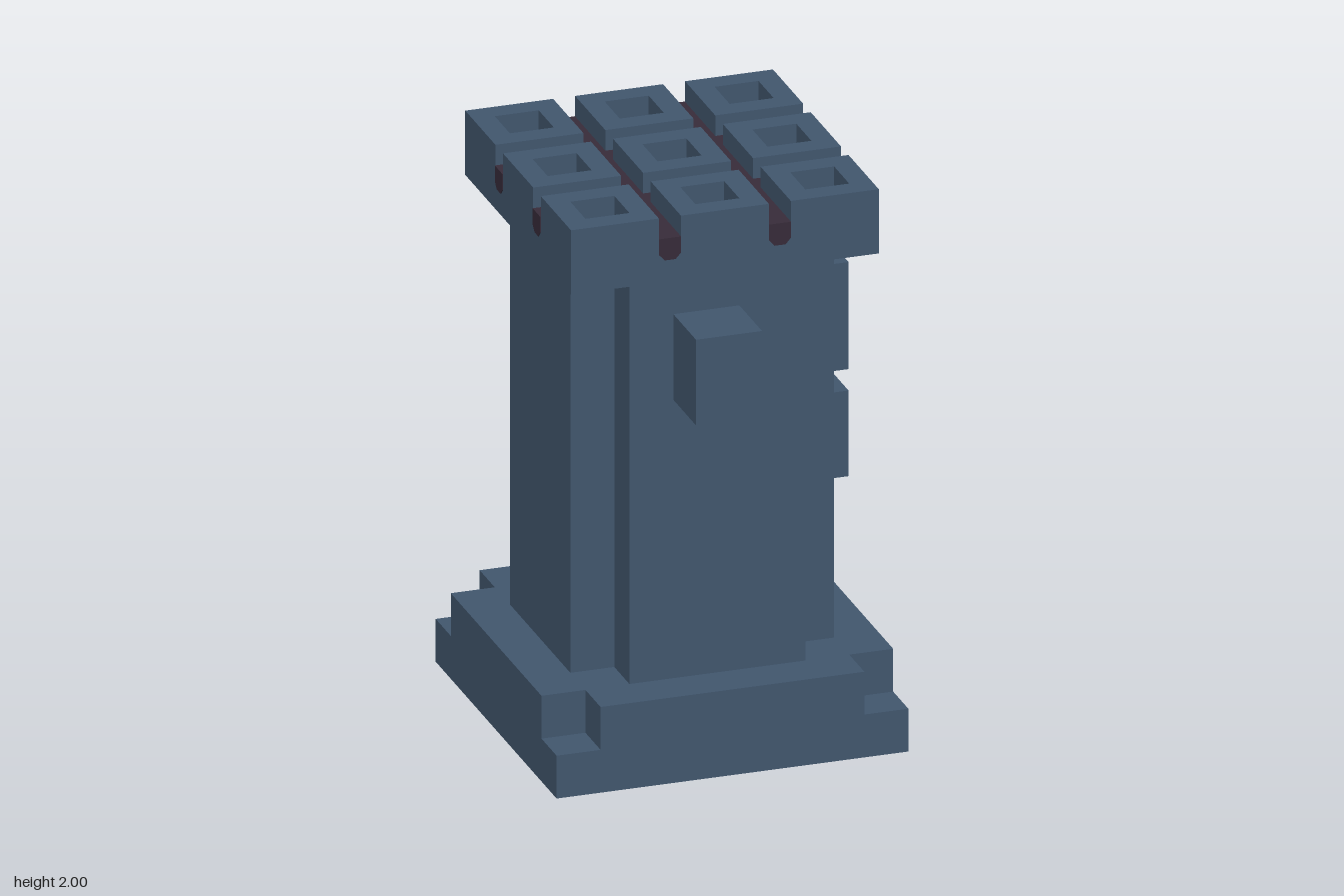
import * as THREE from 'three';

// All sizes are in grid units; 13 units make one world unit.
const U = 1 / 13;
const blue = new THREE.MeshStandardMaterial({ color: 0x42586f });
blue.name = 'slate blue';
const dark = new THREE.MeshStandardMaterial({ color: 0x382c3a });
dark.name = 'dark plum';

const path = (pts, Type = THREE.Shape) => new Type(pts.map(([x, y]) => new THREE.Vector2(x, y)));
const rect = (x0, x1, y0, y1) => [[x0, y0], [x1, y0], [x1, y1], [x0, y1]];

function extrude(pts, depth, holes = []) {
  const shape = path(pts);
  holes.forEach(h => shape.holes.push(path(h, THREE.Path)));
  return new THREE.ExtrudeGeometry(shape, { depth, bevelEnabled: false });
}

export function createModel() {
  const model = new THREE.Group();
  model.name = 'tower';

  const add = (name, geometry, material = blue) => {
    const mesh = new THREE.Mesh(geometry, material);
    mesh.name = name;
    model.add(mesh);
    return mesh;
  };
  const box = (name, x0, x1, y0, y1, z0, z1, material) =>
    add(name, new THREE.BoxGeometry(x1 - x0, y1 - y0, z1 - z0)
      .translate((x0 + x1) / 2, (y0 + y1) / 2, (z0 + z1) / 2), material);
  // Outline in (-z, y), pushed out along +x from x0
  const sidePlate = (name, pts, x0, depth, holes) =>
    add(name, extrude(pts, depth, holes).rotateY(Math.PI / 2).translate(x0, 0, 0));
  // Square column with notched corners; its +x arm may be shorter
  const plus = (name, h, n, y0, y1, right = h) => {
    const i = h - n;
    const pts = [[-i, -h], [i, -h], [i, -i], [right, -i], [right, i], [i, i],
      [i, h], [-i, h], [-i, i], [-h, i], [-h, -i], [-i, -i]];
    add(name, extrude(pts, y1 - y0).rotateX(-Math.PI / 2).translate(0, y0, 0));
  };

  // Base and shaft
  box('baseSlab', -8, 8, 0, 2, -8, 8);
  plus('baseStep', 8, 2, 2, 4);
  plus('shaft', 6, 2, 4, 23, 5);

  // Right wall of the shaft with two slits
  sidePlate('slitWall', rect(-4, 4, 4, 23), 5, 1, [rect(-2, -1, 6, 10), rect(1, 2, 6, 10)]);
  for (const z of [-1.5, 1.5]) box('slitBack', 4.98, 5.04, 6, 10, z - 0.5, z + 0.5, dark);

  // Window frames on the right wall
  sidePlate('upperFrame', rect(-3, 3, 16, 21), 6, 1, [rect(-2, 2, 17, 20)]);
  box('upperWindow', 5.98, 6.04, 17, 20, -2, 2, dark);
  box('windowBlock', 6, 7, 18, 19, -1, 1);
  sidePlate('lowerFrame', rect(-3, 3, 11, 15), 6, 1, [rect(-2, 2, 12, 14)]);
  box('lowerWindow', 5.98, 6.04, 12, 14, -2, 2, dark);

  // Front and back brackets, hollowed on the right side
  for (const s of [1, -1]) {
    const mid = s * 7.5;
    box('bracketBlock', -2, 0, 17, 21, mid - 1.5, mid + 1.5);
    sidePlate('bracketRim', [[6, 17], [9, 17], [9, 21], [6, 21], [6, 20], [8, 20], [8, 18], [6, 18]]
      .map(([z, y]) => [-s * z, y]), 0, 1);
    box('bracketHollow', -0.02, 0.04, 18, 20, s * 7 - 1, s * 7 + 1, dark);
  }

  // Cap with nine hollow blocks
  box('cap', -7, 7, 23, 25, -7, 7);
  for (const x of [-5, 0, 5]) for (const z of [-5, 0, 5]) {
    const range = c => (c ? [c - 2, c + 2] : [-2, 2]);
    const [x0, x1] = range(x), [z0, z1] = range(z);
    add('capBlock', extrude(rect(x0, x1, -z1, -z0), 1, [rect(x - 1, x + 1, -z - 1, -z + 1)])
      .rotateX(-Math.PI / 2).translate(0, 25, 0));
    box('capHollow', x - 1, x + 1, 24.98, 25.04, z - 1, z + 1, dark);
  }

  // Dark gutters between the blocks, showing at the cap's sides
  const gutter = [[-0.5, 25.04], [-0.5, 24.3], [-0.25, 24.02], [0.25, 24.02], [0.5, 24.3], [0.5, 25.04]];
  for (const c of [-2.5, 2.5]) {
    const along = () => extrude(gutter, 14.06).translate(c, 0, -7.03);
    add('gutterFrontToBack', along(), dark);
    add('gutterSideToSide', along().rotateY(Math.PI / 2), dark);
  }

  model.scale.setScalar(U);
  return model;
}
